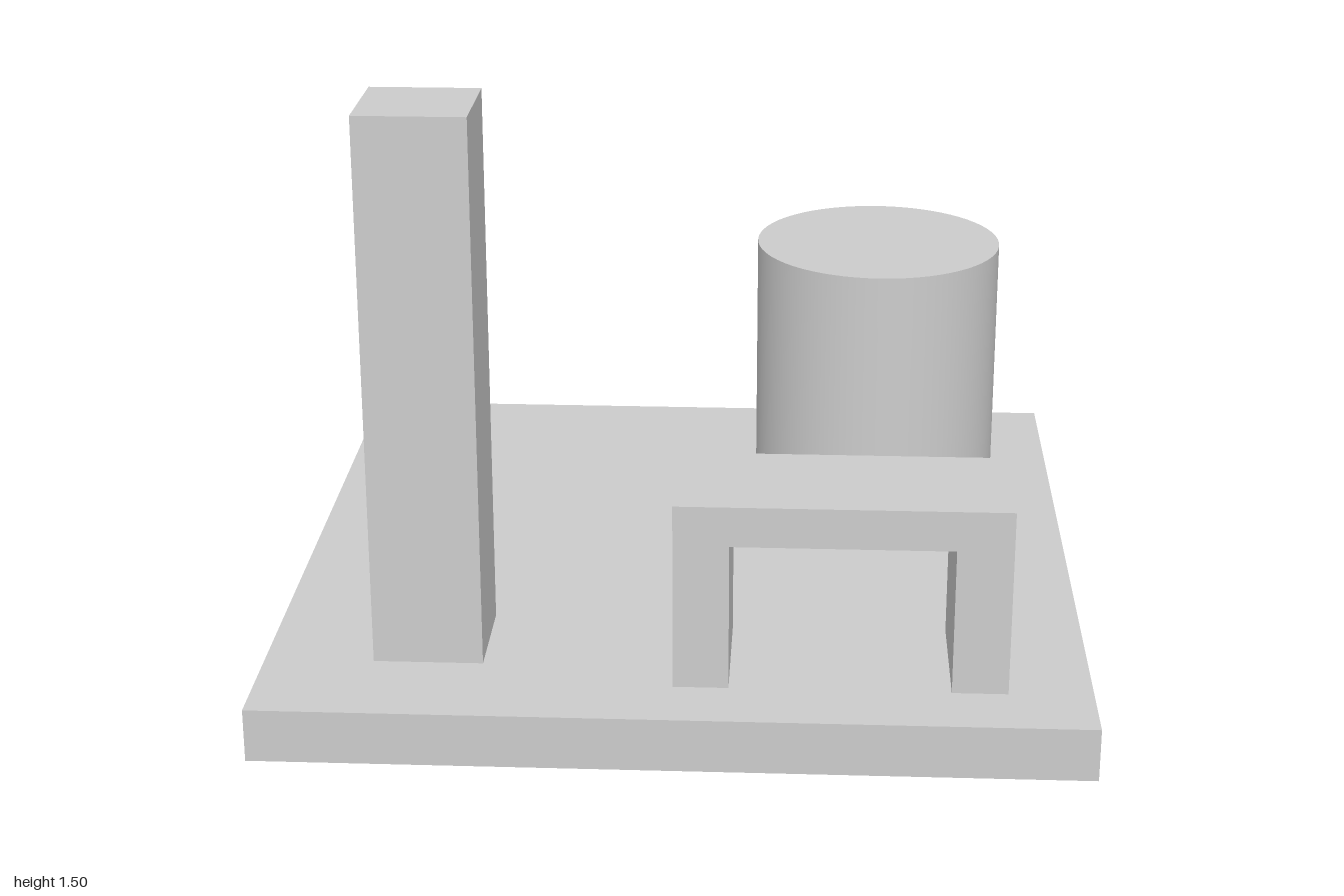
import * as THREE from 'three';

export function createModel() {
  const group = new THREE.Group();
  const grey = new THREE.MeshStandardMaterial({ color: 0xcccccc });
  grey.name = 'light grey';

  const baseTop = 0.133;

  // Adds a named mesh with its centre at the given position
  const add = (name, geometry, x, y, z) => {
    const mesh = new THREE.Mesh(geometry, grey);
    mesh.name = name;
    mesh.position.set(x, y, z);
    group.add(mesh);
  };

  // Square base slab
  add('base', new THREE.BoxGeometry(2, baseTop, 2), 0, baseTop / 2, 0);

  // Tall square pillar
  const pillarHeight = 1.5 - baseTop;
  add('pillar', new THREE.BoxGeometry(0.267, pillarHeight, 0.267), -0.6, baseTop + pillarHeight / 2, 0.6);

  // Round drum
  const drumHeight = 0.833 - baseTop;
  add('drum', new THREE.CylinderGeometry(0.333, 0.333, drumHeight, 64), 0.5, baseTop + drumHeight / 2, -0.5);

  // Archway: two legs and a lintel as one outline, extruded front to back
  const outline = [
    [0, baseTop], [0.133, baseTop], [0.133, 0.5], [0.663, 0.5],
    [0.663, baseTop], [0.797, baseTop], [0.797, 0.6], [0, 0.6],
  ].map(([x, y]) => new THREE.Vector2(x, y));
  const archGeometry = new THREE.ExtrudeGeometry(new THREE.Shape(outline), { depth: 0.333, bevelEnabled: false });
  add('archway', archGeometry, 0, 0, 0.5);

  return group;
}
